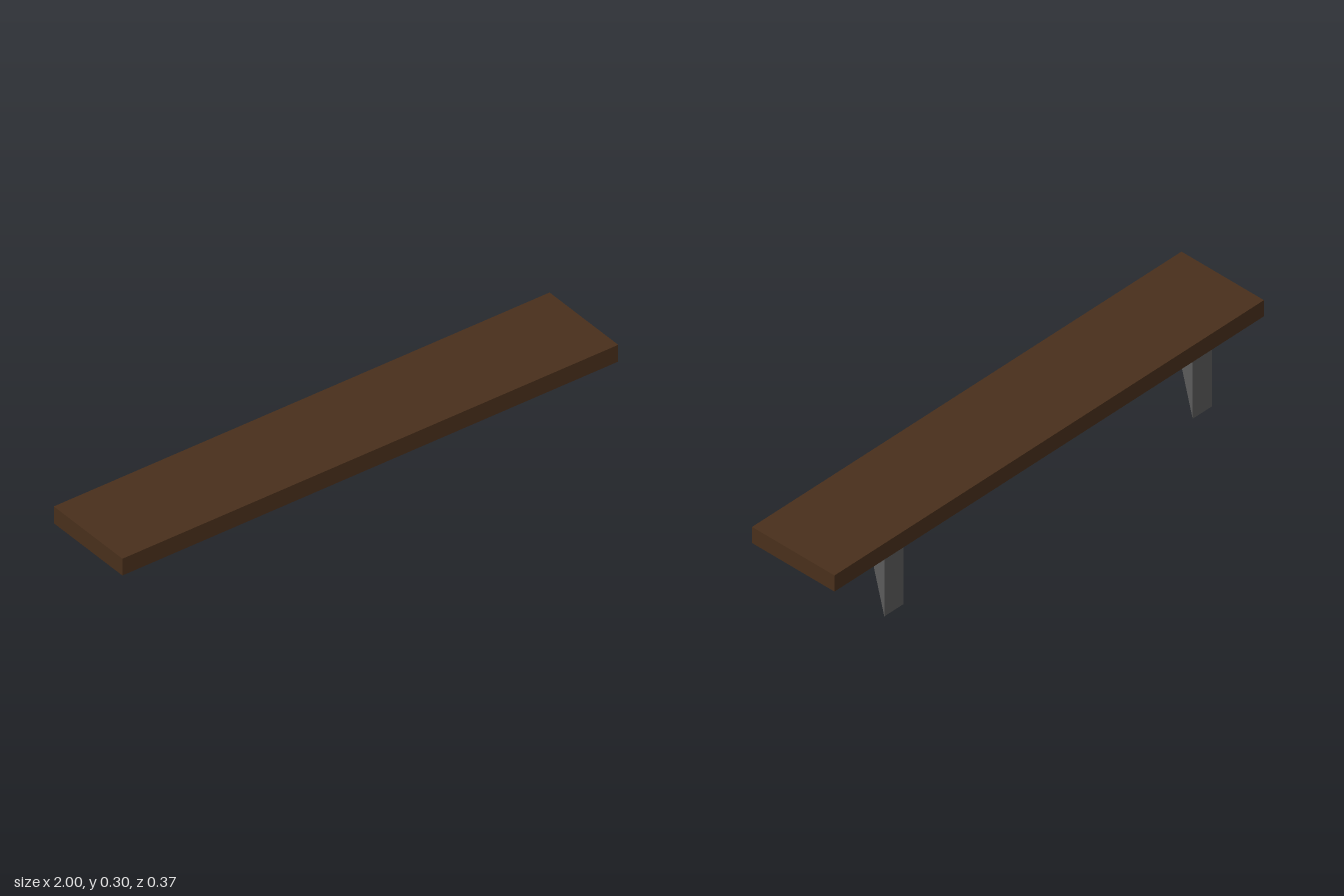
import * as THREE from 'three';

export function createModel() {
  const model = new THREE.Group();
  model.name = 'wallShelf';
  const wood = new THREE.MeshStandardMaterial({ color: 0x4a301c, flatShading: true });
  const metal = new THREE.MeshStandardMaterial({ color: 0x5c5c5c, flatShading: true });

  // Shelf board
  const bottom = 0.233, top = 0.299;
  const board = new THREE.Mesh(new THREE.BoxGeometry(2, top - bottom, 0.368), wood);
  board.name = 'shelfBoard';
  board.position.y = (top + bottom) / 2;
  model.add(board);

  // Bracket side profile (z, y): flat back, bent front edge, pointed foot
  const profile = new THREE.Shape([
    new THREE.Vector2(-0.183, 0),
    new THREE.Vector2(-0.133, 0.189),
    new THREE.Vector2(-0.023, bottom),
    new THREE.Vector2(-0.183, bottom),
  ]);
  const width = 0.09;
  const bracketGeometry = new THREE.ExtrudeGeometry(profile, { depth: width, bevelEnabled: false });
  bracketGeometry.translate(0, 0, -width / 2);
  bracketGeometry.rotateY(-Math.PI / 2);

  // Two supporting brackets
  for (const [name, x] of [['rightBracket', -0.714], ['leftBracket', 0.722]]) {
    const bracket = new THREE.Mesh(bracketGeometry, metal);
    bracket.name = name;
    bracket.position.x = x;
    model.add(bracket);
  }
  return model;
}
